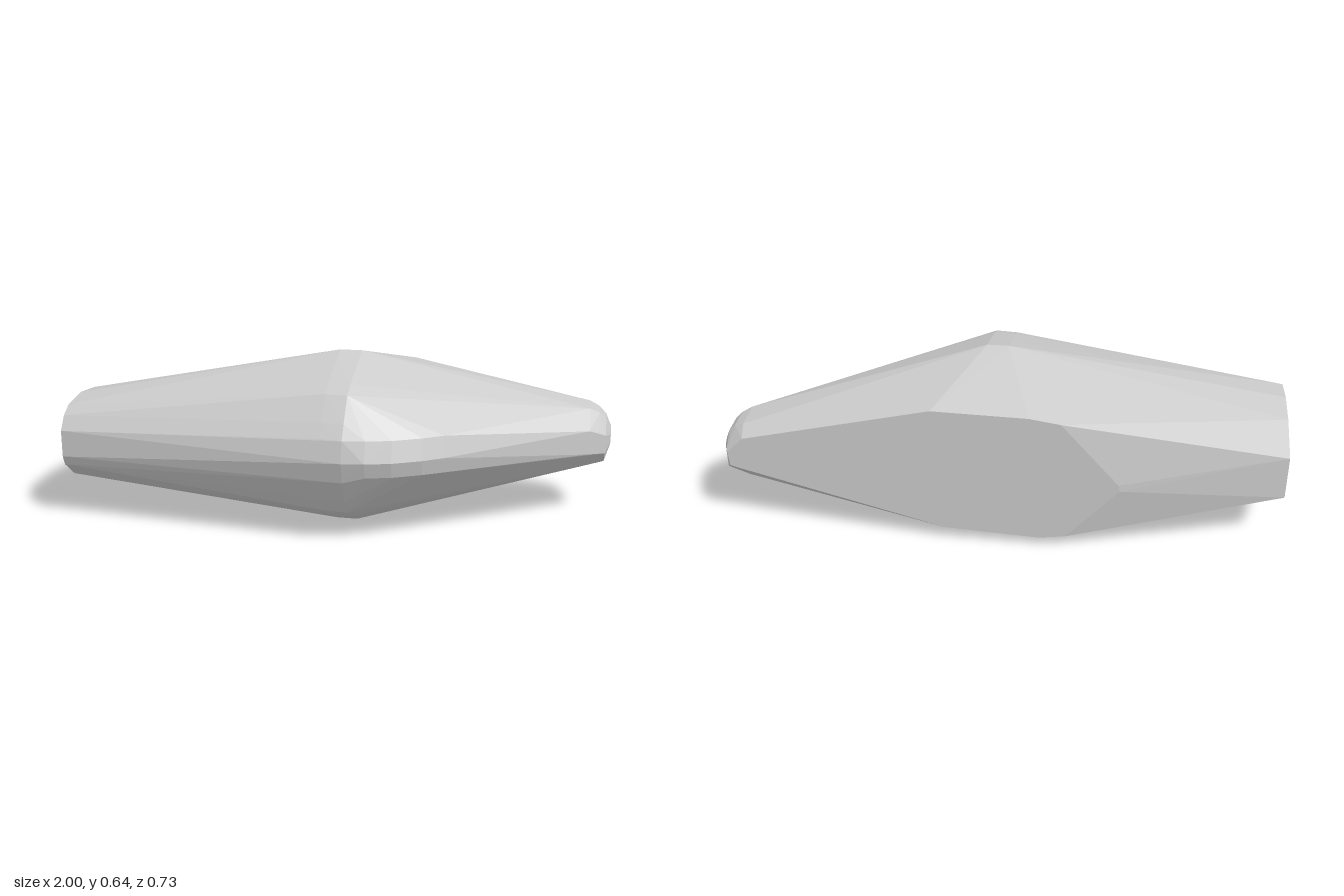
import * as THREE from 'three';
import { ConvexGeometry } from 'three/addons/geometries/ConvexGeometry.js';

const backZ = -0.365;

// Flat cut end at x = -1: [z, y]
const cutEnd = [[-0.26, 0.37], [-0.1, 0.43], [0.03, 0.445], [0.15, 0.43], [0.2, 0.4], [0.235, 0.35],
  [0.235, 0.25], [0.22, 0.215], [0.14, 0.152], [-0.13, 0.15], [-0.26, 0.205]];

// Widest outline of the belly: [z, y]
const belly = [[-0.047, 0.64], [0.03, 0.617], [0.18, 0.57], [0.243, 0.545], [0.31, 0.46], [0.345, 0.41],
  [0.363, 0.333], [0.34, 0.255], [0.285, 0.165], [0.245, 0.11], [0.19, 0.075], [0.03, 0.005], [-0.05, 0]];

// Flat back face: [x, y]
const back = [[0.97, 0.27], [0.975, 0.325], [0.915, 0.385], [0.24, 0.545], [-0.1, 0.537], [-0.21, 0.52],
  [-0.415, 0.285], [-0.42, 0.26], [-0.235, 0.05], [-0.14, 0.036], [0.2, 0.055]];

// Rounded shoulder running into the taper: [x, foremost z]
const shoulder = [[0.16, 0.357], [0.25, 0.332], [0.35, 0.282], [0.42, 0.235]];

// Blunt tip, one octagon per row: [x, centre y, z radius, y radius]
const tip = [[0.92, 0.311, 0.152, 0.117], [0.955, 0.305, 0.12, 0.106], [0.98, 0.295, 0.105, 0.09],
  [1, 0.305, 0.05, 0.035]];

export function createModel() {
  const points = [];
  const add = (x, y, z) => points.push(new THREE.Vector3(x, y, z));

  cutEnd.forEach(([z, y]) => add(-1, y, z));
  back.forEach(([x, y]) => add(x, y, backZ));
  // The belly keeps its outline over a short length, slightly slimmer in front at x = 0
  belly.forEach(([z, y]) => {
    add(0, y, z > 0 ? z * 0.97 : z);
    add(0.08, y, z);
  });
  shoulder.forEach(([x, z]) => {
    add(x, 0.41, z - 0.025);
    add(x, 0.335, z);
    add(x, 0.278, z - 0.018);
  });
  tip.forEach(([x, cy, rz, ry]) => {
    for (let i = 0; i < 8; i++) {
      const a = ((i + 0.5) * Math.PI) / 4;
      add(x, cy + ry * Math.sin(a), Math.max(backZ, -0.26 + rz * Math.cos(a)));
    }
  });

  // Faceted convex body stretched over all the sections
  const body = new THREE.Mesh(
    new ConvexGeometry(points),
    new THREE.MeshStandardMaterial({ color: 0xcccccc, flatShading: true })
  );
  body.name = 'body';

  const group = new THREE.Group();
  group.name = 'facetedTaperedBlock';
  group.add(body);
  return group;
}
